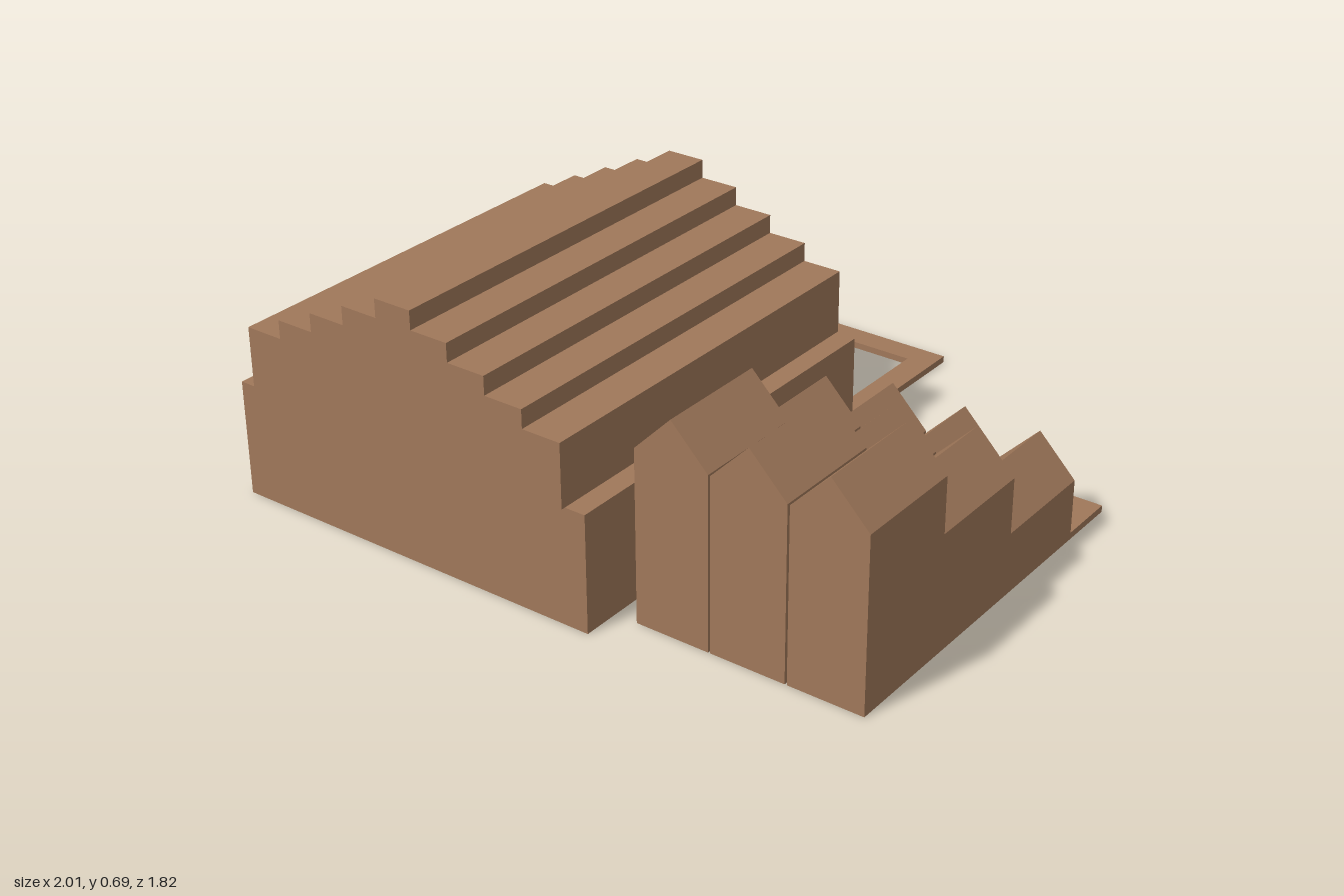
import * as THREE from 'three';

const brown = new THREE.MeshStandardMaterial({ color: 0xa0785a });
const brownShell = new THREE.MeshStandardMaterial({ color: 0xa0785a, side: THREE.DoubleSide });
const black = new THREE.MeshStandardMaterial({ color: 0x080706 });

// Box given by its limits in the site's own axes
function box(name, x0, x1, y0, y1, z0, z1) {
  const mesh = new THREE.Mesh(new THREE.BoxGeometry(x1 - x0, y1 - y0, z1 - z0), brown);
  mesh.position.set((x0 + x1) / 2, (y0 + y1) / 2, (z0 + z1) / 2);
  mesh.name = name;
  return mesh;
}

function extrude(name, shape, depth, z) {
  const geo = new THREE.ExtrudeGeometry(shape, { depth, bevelEnabled: false });
  const mesh = new THREE.Mesh(geo, brown);
  mesh.position.z = z;
  mesh.name = name;
  return mesh;
}

const polygon = (points) => new THREE.Shape(points.map(([x, y]) => new THREE.Vector2(x, y)));

const rectangle = (x0, x1, y0, y1) => [[x0, y0], [x1, y0], [x1, y1], [x0, y1]];

// Gable outline standing on y = 0, drawn in from the walls and roof by an inset
function gable(w, eaves, inset) {
  const top = eaves - inset * 0.6;
  return polygon([
    [inset, 0], [w - inset, 0], [w - inset, top],
    [w / 2, eaves + 0.104 - inset * 1.5], [inset, top],
  ]);
}

export function createModel() {
  const model = new THREE.Group();
  model.name = 'buildingSite';
  model.rotation.y = 0.19;

  // Main hall: a hollow base, open underneath, with a stepped roof
  const hall = new THREE.Group();
  hall.name = 'mainHall';
  const base = box('hallBase', -0.876, 0.211, 0, 0.315, -0.339, 0.756);
  base.material = brownShell;
  // Leave out the bottom face
  base.geometry.setIndex([...base.geometry.index.array].filter((_, i) => i < 18 || i >= 24));
  base.geometry.clearGroups();
  hall.add(base);
  const strips = 9, left = -0.821, width = 0.975 / strips;
  const profile = [[left, 0.315]];
  for (let i = 0; i < strips; i++) {
    const top = 0.685 - 0.05 * Math.abs(i - 4);
    profile.push([left + i * width, top], [left + (i + 1) * width, top]);
  }
  profile.push([left + strips * width, 0.315]);
  hall.add(extrude('steppedRoof', polygon(profile.reverse()), 1.115, -0.348));
  model.add(hall);

  // Flat courtyard frame behind the hall
  const border = polygon(rectangle(-0.848, 0.152, 0.325, 0.897));
  border.holes.push(polygon(rectangle(-0.776, 0.078, 0.398, 0.825).reverse()));
  const frame = extrude('courtyardFrame', border, 0.018, 0);
  frame.rotation.x = -Math.PI / 2;
  model.add(frame);

  // Three rows of gabled houses stepping down to the back
  const houses = new THREE.Group();
  houses.name = 'terracedHouses';
  const w = 0.204, depth = 0.3065;
  for (let row = 0; row < 3; row++) {
    const eaves = 0.165 + 0.148 * row;
    for (let col = 0; col < 3; col++) {
      const house = new THREE.Group();
      house.name = 'house';
      house.position.set(0.273 + 0.21 * col, 0, -0.266 + depth * row);
      house.add(extrude('houseBody', gable(w, eaves, 0), depth, 0));
      // Dark rear panel with a narrow rim of wall around it
      const rear = new THREE.Mesh(new THREE.ShapeGeometry(gable(w, eaves, 0.006)), black);
      rear.name = 'rearPanel';
      rear.rotation.y = Math.PI;
      rear.position.set(w, 0, -0.002);
      house.add(rear);
      houses.add(house);
    }
  }
  houses.add(box('rearTerrace', 0.241, 0.897, 0, 0.018, -0.428, -0.265));
  model.add(houses);

  const root = new THREE.Group();
  root.add(model);
  return root;
}
